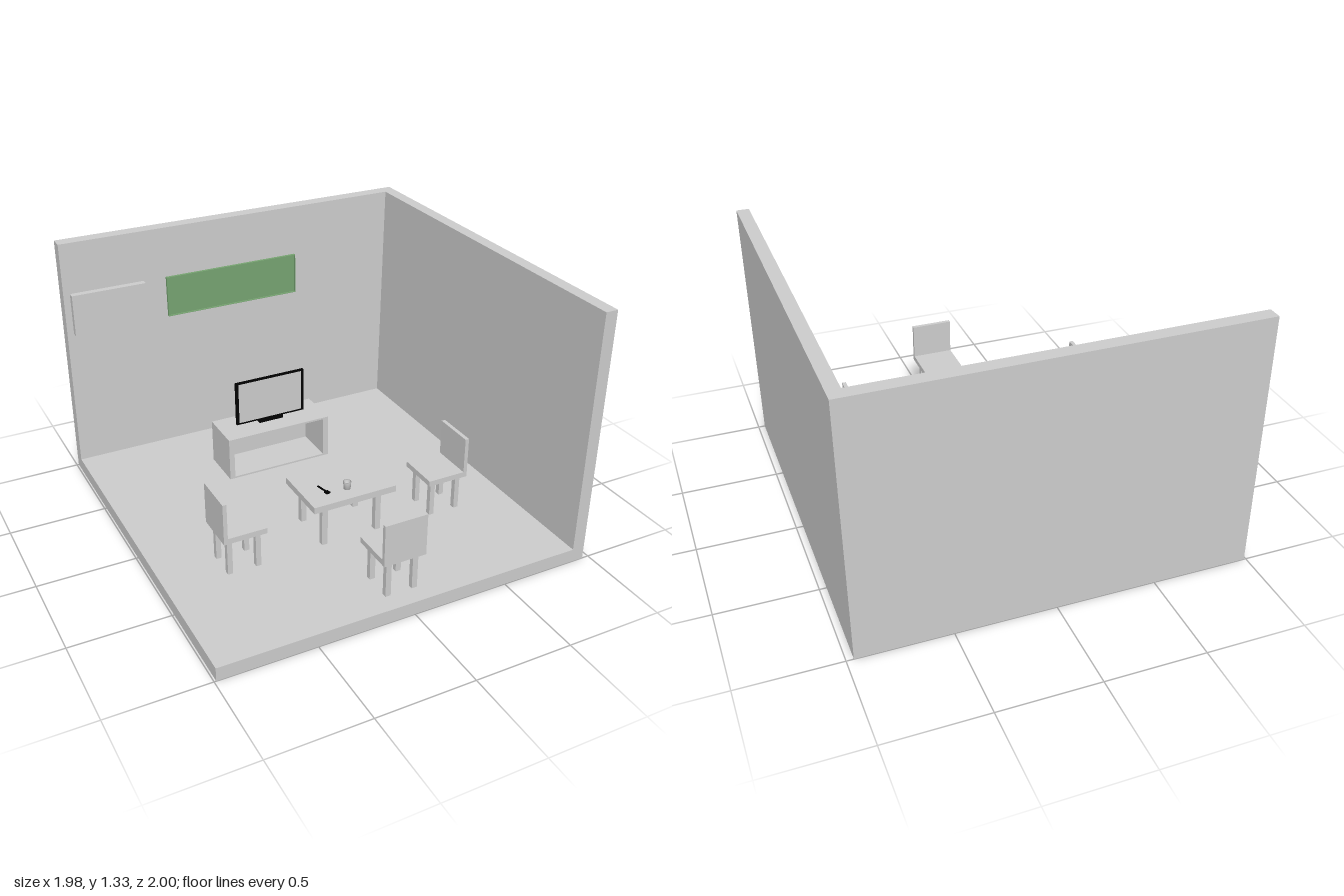
import * as THREE from 'three';

const grey = new THREE.MeshStandardMaterial({ color: 0xcccccc });
grey.name = 'plain grey';
const green = new THREE.MeshStandardMaterial({ color: 0x76a371 });
green.name = 'board green';
const black = new THREE.MeshStandardMaterial({ color: 0x000000 });
black.name = 'black';

function add(parent, name, geometry, material) {
  const mesh = new THREE.Mesh(geometry, material);
  mesh.name = name;
  parent.add(mesh);
  return mesh;
}

// Box given by its low and high limits on each axis
function box(parent, name, x0, x1, y0, y1, z0, z1, material = grey) {
  const g = new THREE.BoxGeometry(x1 - x0, y1 - y0, z1 - z0);
  g.translate((x0 + x1) / 2, (y0 + y1) / 2, (z0 + z1) / 2);
  return add(parent, name, g, material);
}

// Outline in x and y, extruded from z0 to z1
function slab(parent, name, points, z0, z1) {
  const shape = new THREE.Shape(points.map(([x, y]) => new THREE.Vector2(x, y)));
  const g = new THREE.ExtrudeGeometry(shape, { depth: z1 - z0, bevelEnabled: false });
  g.translate(0, 0, z0);
  return add(parent, name, g, grey);
}

function group(parent, name) {
  const g = new THREE.Group();
  g.name = name;
  parent.add(g);
  return g;
}

// Chair with its backrest at local +z
function chair(parent, name, x, z, turn) {
  const c = group(parent, name);
  box(c, 'seat', -0.11, 0.11, 0.288, 0.317, -0.11, 0.11);
  box(c, 'backrest', -0.11, 0.11, 0.317, 0.505, 0.09, 0.11);
  for (const sx of [-1, 1]) for (const sz of [-1, 1]) {
    const lx = sx * 0.07, lz = sz * 0.073;
    box(c, 'chairLeg', lx - 0.014, lx + 0.014, 0.098, 0.288, lz - 0.013, lz + 0.013);
  }
  c.position.set(x, 0, z);
  c.rotation.y = turn;
}

export function createModel() {
  const model = new THREE.Group();
  model.name = 'diningRoom';

  // Room: floor with a slightly leaning side wall, and the back wall
  const room = group(model, 'room');
  slab(room, 'floorAndSideWall', [[-0.99, 0], [0.965, 0], [0.985, 1.33], [0.92, 1.33],
    [0.9, 0.07], [-0.99, 0.07]], -0.93, 1);
  slab(room, 'backWall', [[-0.99, 0], [0.965, 0], [0.985, 1.33], [-0.99, 1.33]], -1, -0.93);

  // Wall panels; the green one has a thin raised rim
  box(room, 'wallCabinet', -0.955, -0.555, 0.83, 1.055, -0.93, -0.895);
  const board = group(room, 'greenBoard');
  box(board, 'panel', -0.43, 0.335, 0.83, 1.055, -0.93, -0.925, green);
  for (const y of [0.83, 1.052]) box(board, 'rim', -0.43, 0.335, y, y + 0.003, -0.925, -0.914, green);
  for (const x of [-0.43, 0.332]) box(board, 'rim', x, x + 0.003, 0.833, 1.052, -0.925, -0.914, green);

  // Low media cabinet, open at the front
  const stand = group(model, 'mediaCabinet');
  box(stand, 'top', -0.345, 0.245, 0.315, 0.325, -0.57, -0.335);
  box(stand, 'bottom', -0.345, 0.245, 0.087, 0.097, -0.57, -0.335);
  box(stand, 'leftSide', 0.213, 0.245, 0.097, 0.315, -0.57, -0.335);
  box(stand, 'rightSide', -0.345, -0.316, 0.097, 0.315, -0.57, -0.335);
  box(stand, 'back', -0.316, 0.213, 0.097, 0.315, -0.57, -0.55);

  // Television with a black bezel around a plain screen
  const tv = group(model, 'television');
  box(tv, 'casing', -0.25, 0.15, 0.34, 0.587, -0.46, -0.45, black);
  for (const x of [-0.25, 0.135]) box(tv, 'bezelSide', x, x + 0.015, 0.34, 0.587, -0.45, -0.445, black);
  for (const y of [0.34, 0.579]) box(tv, 'bezelEdge', -0.235, 0.135, y, y + 0.008, -0.45, -0.445, black);
  box(tv, 'screen', -0.235, 0.135, 0.348, 0.579, -0.45, -0.447);
  box(tv, 'foot', -0.12, 0.02, 0.325, 0.345, -0.497, -0.438, black);

  // Table
  const table = group(model, 'table');
  box(table, 'tableTop', -0.27, 0.175, 0.34, 0.374, 0.2, 0.51);
  for (const x of [-0.2, 0.092]) for (const z of [0.242, 0.468]) {
    box(table, 'tableLeg', x - 0.015, x + 0.015, 0.13, 0.34, z - 0.015, z + 0.015);
  }

  // Plate, cutlery and cup
  const plate = add(table, 'plate', new THREE.CylinderGeometry(0.06, 0.05, 0.006, 32), grey);
  plate.position.set(-0.155, 0.377, 0.425);
  const handle = add(table, 'forkHandle', new THREE.BoxGeometry(0.008, 0.005, 0.07), black);
  handle.position.set(-0.168, 0.386, 0.393);
  handle.rotation.y = 0.22;
  const head = add(table, 'forkHead', new THREE.BoxGeometry(0.022, 0.006, 0.024), black);
  head.position.set(-0.16, 0.385, 0.427);
  head.rotation.y = 0.22;
  const profile = [[0, 0], [0.017, 0], [0.02, 0.04], [0.017, 0.04], [0.015, 0.005], [0, 0.005]];
  const cup = add(table, 'cup', new THREE.LatheGeometry(
    profile.map(([r, y]) => new THREE.Vector2(r, y)), 24), grey);
  cup.position.set(-0.05, 0.374, 0.425);

  // Chairs on three sides of the table
  chair(model, 'rightChair', -0.611, 0.37, -Math.PI / 2);
  chair(model, 'leftChair', 0.498, 0.37, Math.PI / 2);
  chair(model, 'frontChair', -0.04, 0.85, 0);

  return model;
}
